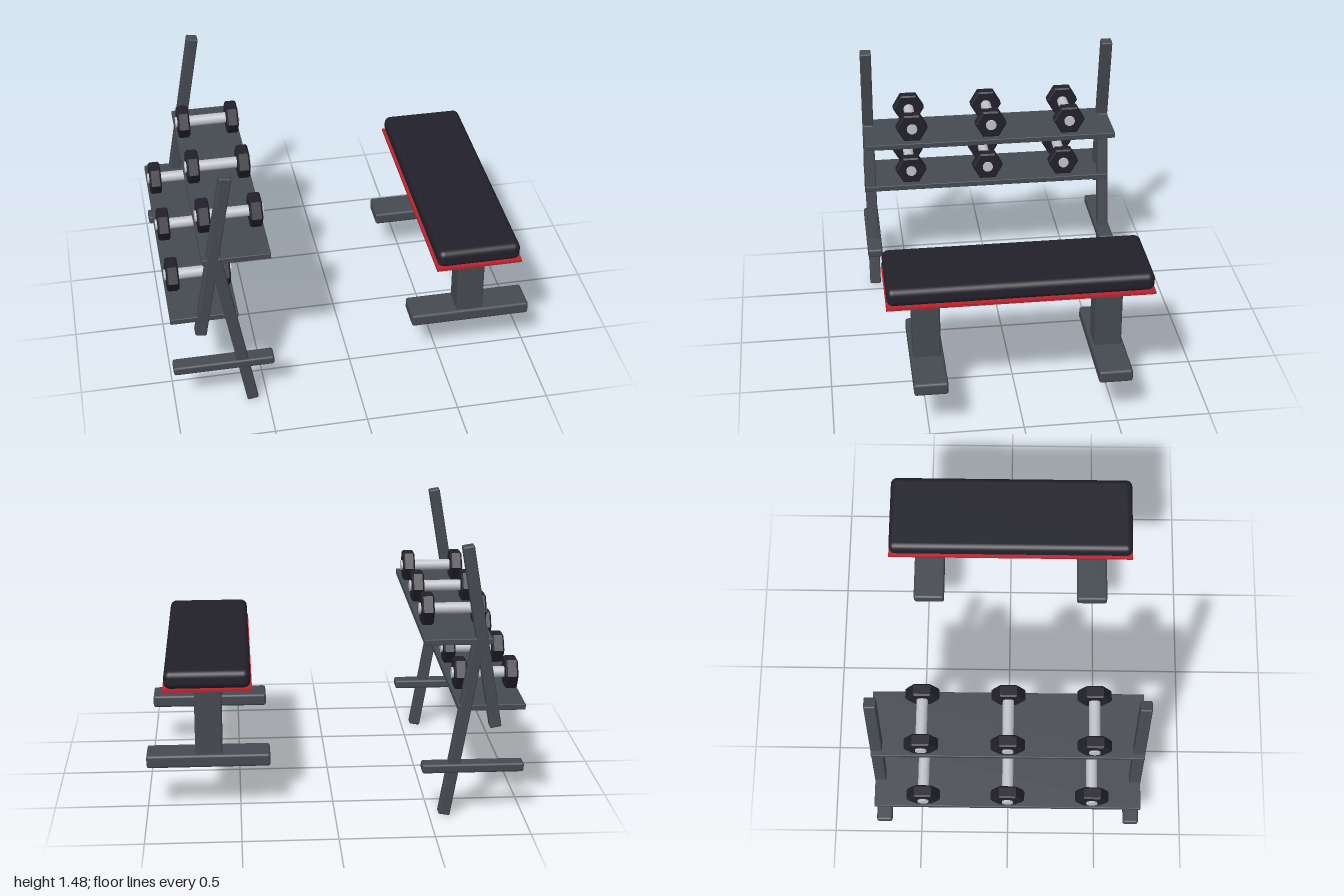
import * as THREE from 'three';
import { RoundedBoxGeometry } from 'three/addons/geometries/RoundedBoxGeometry.js';

const material = (name, color) => {
  const m = new THREE.MeshStandardMaterial({ color });
  m.name = name;
  return m;
};

export function createModel() {
  const steel = material('dark steel', 0x454a51);
  const rubber = material('black rubber', 0x22212b);
  const chrome = material('chrome', 0xc2c3ca);
  const red = material('red board', 0xb8242e);

  const add = (parent, name, geometry, mat, x, y, z) => {
    const mesh = new THREE.Mesh(geometry, mat);
    mesh.name = name;
    mesh.position.set(x, y, z);
    parent.add(mesh);
    return mesh;
  };
  const beam = (w, h, d, r = 0.008) => new RoundedBoxGeometry(w, h, d, 2, r);
  const group = (parent, name) => {
    const g = new THREE.Group();
    g.name = name;
    parent.add(g);
    return g;
  };

  const model = new THREE.Group();
  model.name = 'benchAndDumbbellRack';

  // Rack: crossed leaning posts and a foot bar at each end
  const rack = group(model, 'rack');
  for (const s of [1, -1]) {
    const z = s * 0.699;
    add(rack, 'lowerPost', beam(0.062, 0.994, 0.063), steel, -0.663, 0.495, z).rotation.z = 0.17;
    add(rack, 'upperPost', beam(0.062, 0.994, 0.063), steel, -0.76, 0.985, z).rotation.z = -0.17;
    add(rack, 'footBar', beam(0.542, 0.05, 0.087, 0.012), steel, -0.729, 0.27, s * 0.696);
  }

  // Hexagonal weight head with bevelled rims, turned around the handle axis
  const R = 0.091, T = 0.033, B = 0.009;
  const profile = [[0, -T], [R - B, -T], [R, -T + B], [R, T - B], [R - B, T], [0, T]];
  const headGeo = new THREE.LatheGeometry(profile.map(([x, y]) => new THREE.Vector2(x, y)), 6)
    .toNonIndexed();
  headGeo.computeVertexNormals();
  headGeo.rotateZ(Math.PI / 2);
  const handleGeo = new THREE.CylinderGeometry(0.03, 0.03, 0.36, 24).rotateZ(Math.PI / 2);

  // Two shelves, three dumbbells on each
  for (const [level, x, y] of [['lower', -0.82, 0.606], ['upper', -0.638, 0.968]]) {
    add(rack, level + 'Shelf', beam(0.358, 0.032, 1.456, 0.004), steel, x, y, 0);
    for (const z of [-0.457, 0, 0.457]) {
      const dumbbell = group(rack, level + 'Dumbbell');
      dumbbell.position.set(x, y + 0.107, z);
      add(dumbbell, 'handle', handleGeo, chrome, 0, 0, 0);
      for (const s of [1, -1]) add(dumbbell, 'weightHead', headGeo, rubber, s * 0.137, 0, 0);
    }
  }

  // Bench: padded top on a red board, two pedestal legs with wide feet
  const bench = group(model, 'bench');
  const bx = 0.666;
  add(bench, 'pad', new RoundedBoxGeometry(0.452, 0.1, 1.392, 4, 0.036), rubber, bx, 0.774, 0);
  add(bench, 'board', new THREE.BoxGeometry(0.466, 0.014, 1.4), red, bx, 0.72, 0);
  for (const s of [1, -1]) {
    add(bench, 'leg', beam(0.146, 0.42, 0.147, 0.01), steel, bx, 0.503, s * 0.486);
    add(bench, 'foot', beam(0.662, 0.07, 0.18, 0.014), steel, bx + 0.003, 0.28, s * 0.486);
  }
  return model;
}
